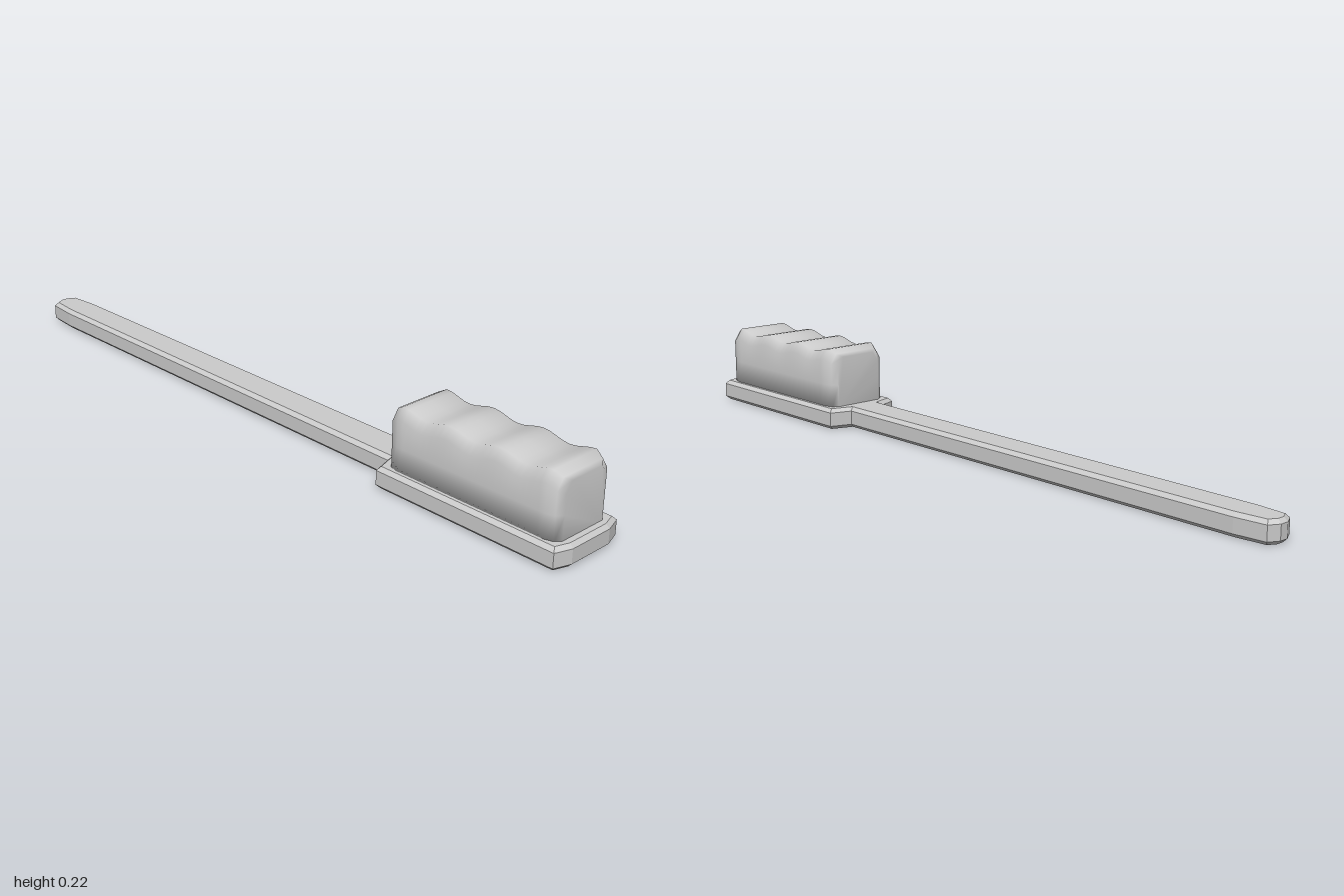
import * as THREE from 'three';

const material = new THREE.MeshStandardMaterial({ color: 0xcccccc, flatShading: true });
const softMaterial = new THREE.MeshStandardMaterial({ color: 0xcccccc });

// Flat bevelled plate: wide head, slim handle, blunt pointed tip
function createBody() {
  const half = [
    [0.065, 0.995], [0.111, 0.98], [0.111, 0.453], [0.052, 0.434],
    [0.048, -0.9], [0.04, -0.985], [0.012, -1],
  ];
  const mirrored = half.map(([x, z]) => [-x, z]).reverse();
  const shape = new THREE.Shape([...half, ...mirrored].map(([x, z]) => new THREE.Vector2(x, z)));
  const geometry = new THREE.ExtrudeGeometry(shape, {
    depth: 0.038, bevelEnabled: true, bevelThickness: 0.01,
    bevelSize: 0.01, bevelOffset: -0.01, bevelSegments: 1,
  });
  geometry.rotateX(Math.PI / 2).translate(0, 0.048, 0);
  const mesh = new THREE.Mesh(geometry, material);
  mesh.name = 'handleAndHead';
  return mesh;
}

// Bristle block: chamfered cross-sections along z with a wavy top
function createBristles() {
  const zBack = 0.466, zFront = 0.97, corner = 0.034, waveSteps = 24;
  const stations = [[zBack, 0.07, 0.198], [zBack + 0.012, 0.086, 0.206]];
  for (let i = 0; i <= waveSteps; i++) {
    const t = i / waveSteps;
    const z = THREE.MathUtils.lerp(zBack + corner, zFront - corner, t);
    stations.push([z, 0.093, 0.211 + 0.007 * Math.cos(t * 6 * Math.PI)]);
  }
  stations.push([zFront - 0.012, 0.086, 0.206], [zFront, 0.07, 0.198]);

  const positions = [], indices = [];
  for (const [z, w, h] of stations) {
    const right = [[w, 0.05], [w, 0.12], [w, h - 0.027], [w - 0.018, h]];
    const left = right.map(([x, y]) => [-x, y]).reverse();
    for (const [x, y] of [...right, [0, h], ...left]) positions.push(x, y, z);
  }
  const n = 9;
  for (let s = 0; s < stations.length - 1; s++) {
    for (let k = 0; k < n; k++) {
      const a = s * n + k, b = s * n + (k + 1) % n;
      indices.push(a, b, a + n, b, b + n, a + n);
    }
  }
  // End walls
  const last = (stations.length - 1) * n;
  for (let k = 1; k < n - 1; k++) {
    indices.push(0, k + 1, k);
    indices.push(last, last + k, last + k + 1);
  }
  const geometry = new THREE.BufferGeometry();
  geometry.setAttribute('position', new THREE.Float32BufferAttribute(positions, 3));
  geometry.setIndex(indices);
  geometry.computeVertexNormals();
  const mesh = new THREE.Mesh(geometry, softMaterial);
  mesh.name = 'bristles';
  return mesh;
}

export function createModel() {
  const group = new THREE.Group();
  group.name = 'brush';
  group.add(createBody(), createBristles());
  return group;
}
